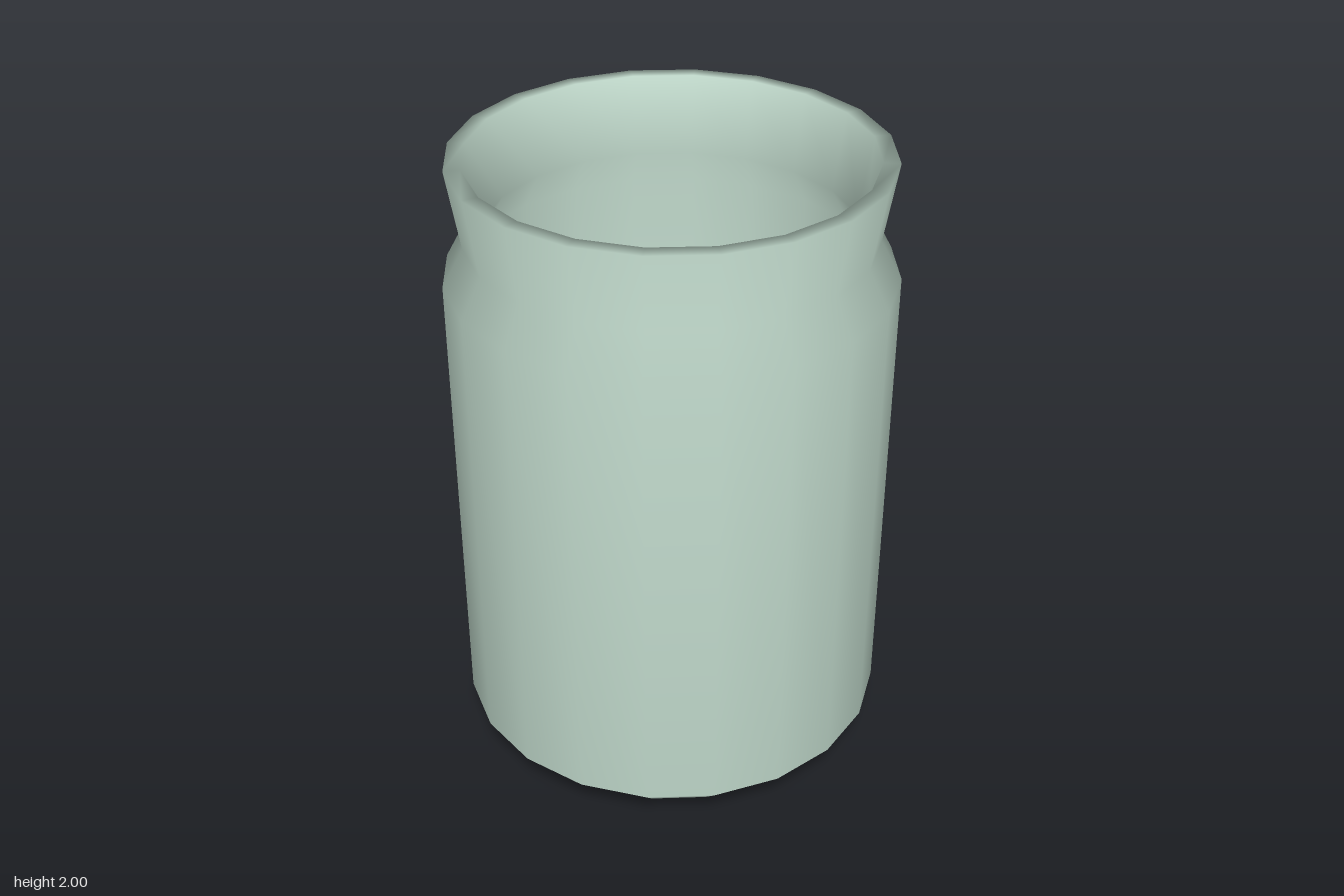
import * as THREE from 'three';

const SIDES = 20;
const WALL = 0.05;

export function createModel() {
  const group = new THREE.Group();
  group.name = 'jar';

  const material = new THREE.MeshStandardMaterial({ color: 0xc4ddcf });

  // Outer wall: base, bevel, straight body, shoulder, neck, flared rim
  const outer = [[0, 0], [0.545, 0], [0.68, 0.135], [0.68, 1.635], [0.615, 1.755], [0.655, 2]];

  // Inner wall follows the outer one, inset by the wall thickness
  const inner = [[0.605, 2], [0.565, 1.755], [0.63, 1.635], [0.63, 0.155], [0.525, WALL], [0, WALL]];

  const profile = [...outer, ...inner].map(([r, y]) => new THREE.Vector2(r, y));
  const jar = new THREE.Mesh(new THREE.LatheGeometry(profile, SIDES), material);
  jar.name = 'jarBody';
  group.add(jar);

  return group;
}
